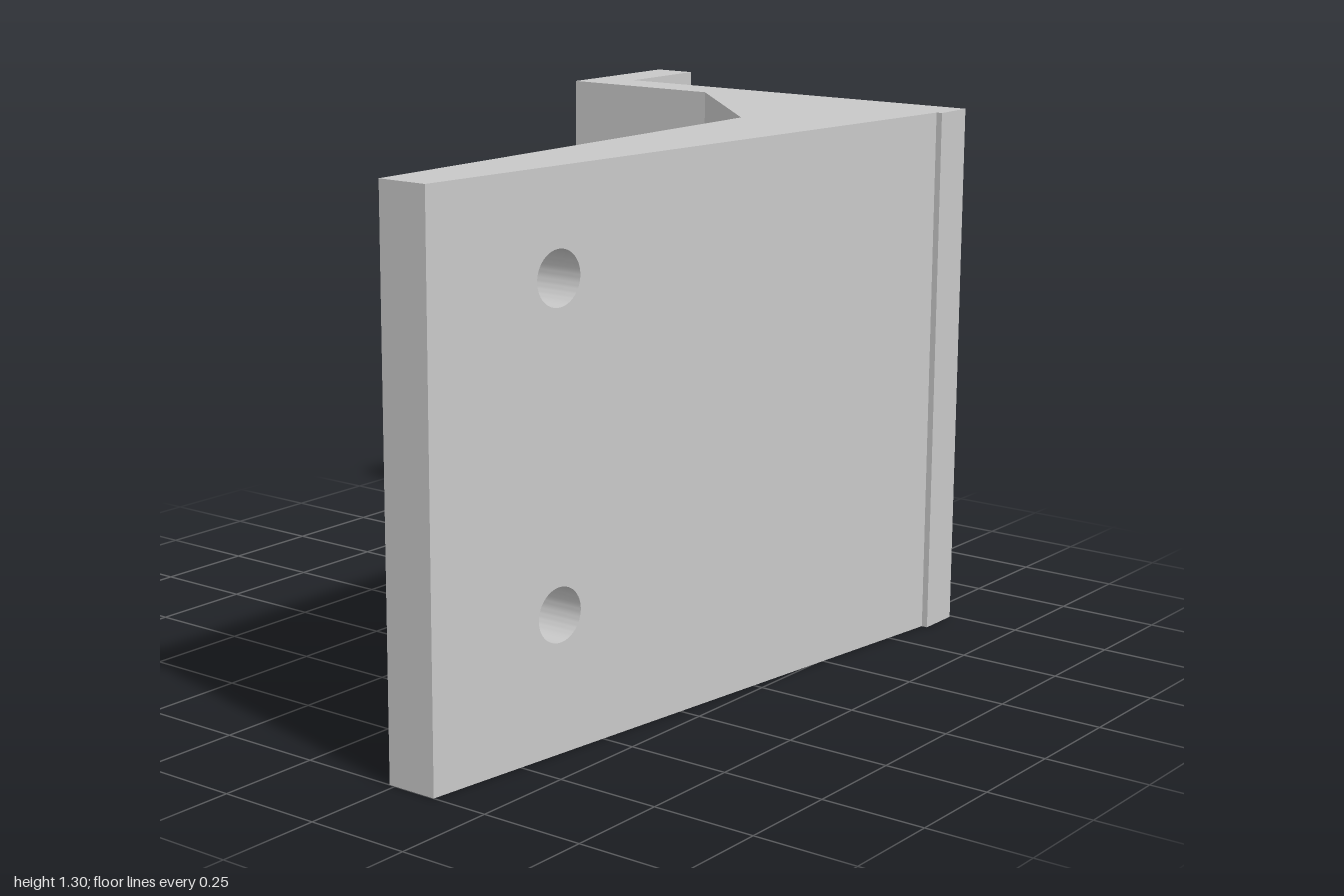
import * as THREE from 'three';
import { toCreasedNormals } from 'three/addons/utils/BufferGeometryUtils.js';

const HEIGHT = 1.297;
const HOLE_RADIUS = 0.063;

// Upright plate from x0 to x1 with round holes, front at frontZ(x)
function drilledPlate(x0, x1, backZ, frontZ, holes) {
  const shape = new THREE.Shape([
    new THREE.Vector2(x0, 0), new THREE.Vector2(x1, 0),
    new THREE.Vector2(x1, HEIGHT), new THREE.Vector2(x0, HEIGHT),
  ]);
  for (const [x, y] of holes) {
    shape.holes.push(new THREE.Path().absarc(x, y, HOLE_RADIUS, 0, Math.PI * 2, true));
  }
  const geometry = new THREE.ExtrudeGeometry(shape, { depth: 1, bevelEnabled: false, curveSegments: 32 });
  const p = geometry.attributes.position;
  for (let i = 0; i < p.count; i++) {
    p.setZ(i, p.getZ(i) > 0.5 ? frontZ(p.getX(i)) : backZ);
  }
  return toCreasedNormals(geometry, 0.5);
}

// Vertical prism from a plan outline of [x, z] points
function prism(points) {
  const shape = new THREE.Shape(points.map(([x, z]) => new THREE.Vector2(x, -z)));
  return new THREE.ExtrudeGeometry(shape, { depth: HEIGHT, bevelEnabled: false }).rotateX(-Math.PI / 2);
}

export function createModel() {
  const group = new THREE.Group();
  group.name = 'angleBracket';
  const lightGrey = new THREE.MeshStandardMaterial({ color: 0xc8c8c8 });
  lightGrey.name = 'lightGrey';
  const add = (name, geometry) => {
    const mesh = new THREE.Mesh(geometry, lightGrey);
    mesh.name = name;
    group.add(mesh);
  };

  // Tapered front plate, thicker towards the web
  add('taperedPlate', drilledPlate(-1, 0.632, 0.235,
    (x) => THREE.MathUtils.mapLinear(x, -1, 0.632, 0.36, 0.55),
    [[-0.632, 0.318], [-0.632, 1.058]]));

  // Web running front to back, with the diagonal gusset in its inner corner
  add('webAndGusset', prism([
    [0.632, 0.565], [0.742, 0.565], [0.742, -0.565], [0.632, -0.565],
    [0.632, -0.14], [0.262, 0.235], [0.632, 0.235],
  ]));

  // Rear mounting flange
  add('mountingFlange', drilledPlate(0.742, 1, -0.565, () => -0.455,
    [[0.887, 0.132], [0.887, 1.167]]));

  return group;
}
